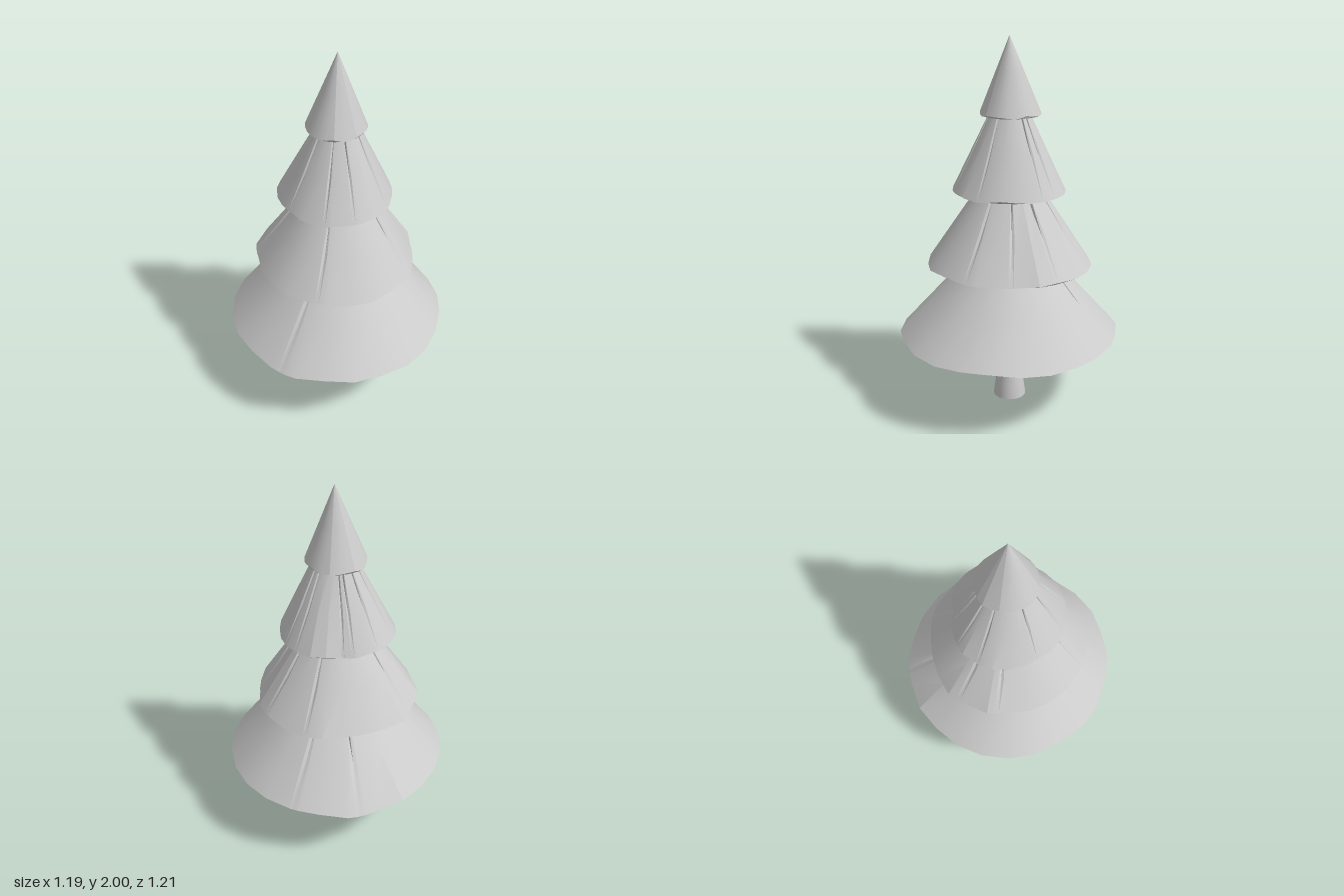
import * as THREE from 'three';
import { toCreasedNormals } from 'three/addons/utils/BufferGeometryUtils.js';

const material = new THREE.MeshStandardMaterial({ color: 0xcccccc, roughness: 0.9 });
const RAD = Math.PI / 180;

// Rim radii every 15 degrees from +x towards +z; folds are the angles of the pinched creases
const tiers = [
  { name: 'lowestBranches', y: 0.4, top: 0.235, height: 0.41, folds: [158, 293, 328],
    rim: [.593, .592, .592, .587, .588, .598, .603, .595, .604, .594, .605, .6,
      .596, .605, .607, .608, .605, .6, .606, .595, .602, .586, .587, .59] },
  { name: 'lowerBranches', y: 0.8, top: 0.17, height: 0.41, folds: [1, 33, 66, 141, 217, 246, 326],
    rim: [.436, .433, .408, .412, .426, .43, .433, .444, .44, .441, .441, .446,
      .439, .441, .434, .455, .448, .462, .445, .433, .43, .443, .441, .438] },
  { name: 'upperBranches', y: 1.2, top: 0.105, height: 0.41, folds: [1, 68, 111, 140, 181, 238, 263, 287, 297, 346],
    rim: [.3, .295, .286, .284, .286, .292, .298, .3, .3, .304, .307, .307,
      .3, .306, .313, .322, .32, .325, .312, .3, .28, .298, .308, .304] },
  { name: 'treetop', y: 1.6, top: 0, height: 0.4, folds: [],
    rim: [.15, .15, .15, .149, .148, .147, .149, .15, .152, .155, .158, .16,
      .16, .16, .161, .162, .165, .172, .168, .164, .165, .165, .162, .155] },
];

// One skirt of branches: flat underside, thin lip, wavy rim and a sloping, folded side
function branchTier({ y, top, height, folds, rim }) {
  const n = rim.length;
  const columns = rim.map((r, i) => ({ a: i * 15, pinch: 0 }))
    .filter(c => !folds.some(f => Math.abs(f - c.a) < 4));
  for (const f of folds) columns.push({ a: f - 2.5, pinch: 0 }, { a: f, pinch: 1 }, { a: f + 2.5, pinch: 0 });
  columns.sort((p, q) => p.a - q.a);

  const rings = columns.map(({ a, pinch }) => {
    const t = ((a / 15) + n) % n, i = Math.floor(t);
    const r = THREE.MathUtils.lerp(rim[i], rim[(i + 1) % n], t - i);
    const wave = 0.006 + 0.005 * Math.sin(a * RAD * 5 + y * 9) + 0.003 * Math.cos(a * RAD * 8);
    const point = (radius, h) => [radius * Math.cos(a * RAD), h, radius * Math.sin(a * RAD)];
    const mid = (r + top) / 2 - pinch * 0.007;
    return [
      point(0, y + 0.003), point(r * 0.96, y), point(r, y + wave),
      point(mid, y + (wave + height) / 2), point(top * (1 - pinch * 0.16), y + height),
    ];
  });

  const pos = [];
  const last = rings[0].length - 1;
  rings.forEach((p, i) => {
    const q = rings[(i + 1) % rings.length];
    for (let k = 0; k < last; k++) {
      if (k > 0) pos.push(...p[k], ...p[k + 1], ...q[k]);
      if (k + 1 < last || top > 0) pos.push(...p[k + 1], ...q[k + 1], ...q[k]);
    }
  });
  const geometry = new THREE.BufferGeometry();
  geometry.setAttribute('position', new THREE.Float32BufferAttribute(pos, 3));
  return toCreasedNormals(geometry, 0.3);
}

export function createModel() {
  const tree = new THREE.Group();
  tree.name = 'tree';
  const add = (name, geometry) => {
    const mesh = new THREE.Mesh(geometry, material);
    mesh.name = name;
    tree.add(mesh);
  };

  // Trunk flares towards the foot
  const profile = [[0, 0], [0.09, 0], [0.079, 0.08], [0.066, 0.16], [0.056, 0.25], [0.05, 0.33], [0.047, 0.42]];
  add('trunk', toCreasedNormals(
    new THREE.LatheGeometry(profile.map(([r, h]) => new THREE.Vector2(r, h)), 20), 0.6));

  for (const tier of tiers) add(tier.name, branchTier(tier));
  return tree;
}
